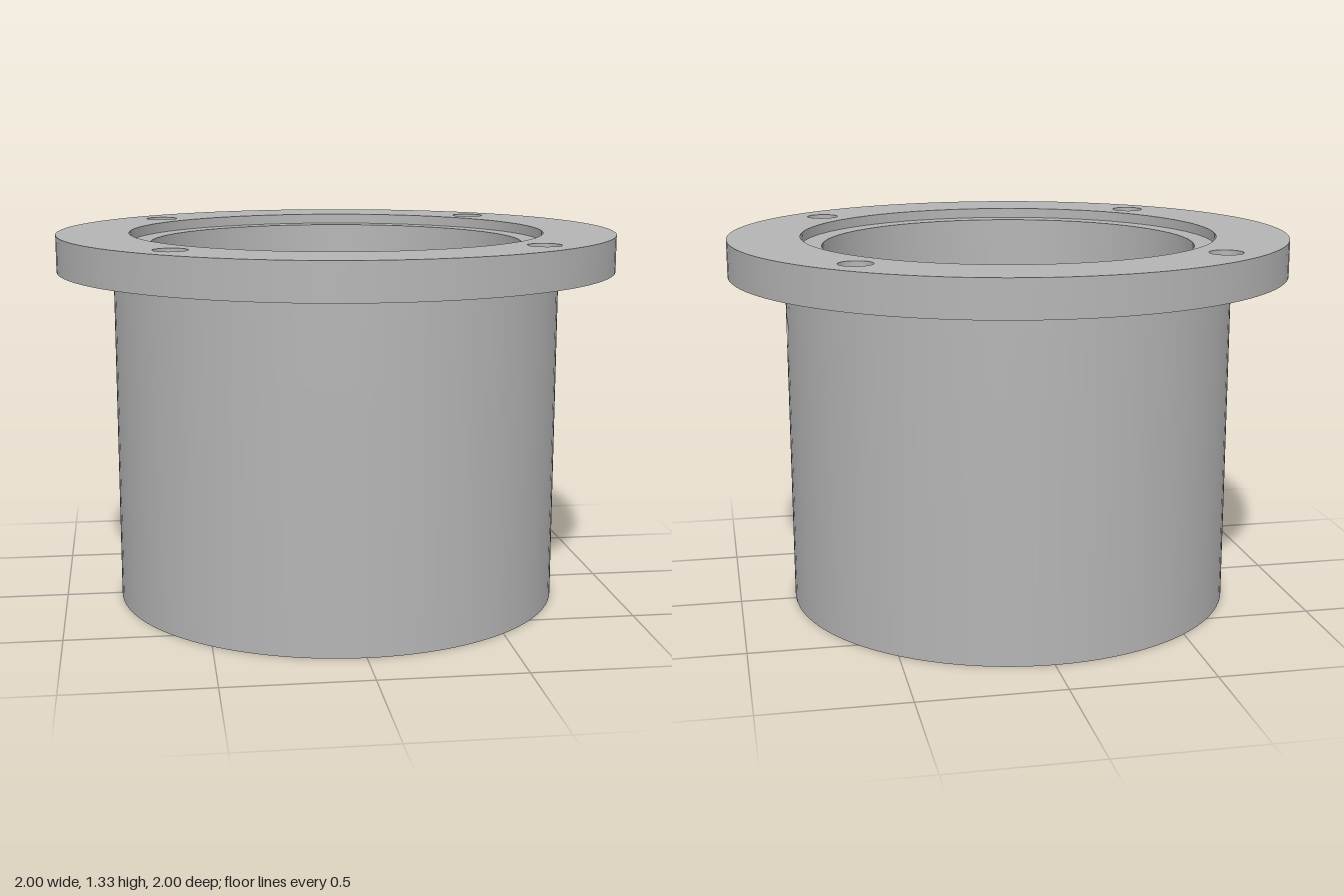
import * as THREE from 'three';
import { mergeGeometries } from 'three/addons/utils/BufferGeometryUtils.js';

const SEG = 96;
const OUTER = 0.8, BORE = 0.667, RECESS = 0.742, RIM = 1;
const FLANGE_Y = 1.203, SHELF_Y = 1.297, TOP_Y = 1.333;
const BOLT_R = 0.058, BOLT_POS = 0.613;
const PORT_R = 0.053, PORT_Y = 1.003, PATCH_H = 0.1;
const PATCH_A = (2 * Math.PI / SEG) * 2; // half angle of the wall patch around the port

// One revolved strip; an upward profile faces outward, an outward one faces down
function strip(r0, y0, r1, y1, start = 0, length = Math.PI * 2, seg = SEG) {
  return new THREE.LatheGeometry(
    [new THREE.Vector2(r0, y0), new THREE.Vector2(r1, y1)], seg, start, length);
}

// Grid moved by a rule that returns a position and a normal
function ruled(nu, nv, rule) {
  const g = new THREE.PlaneGeometry(1, 1, nu, nv);
  const { position, normal, uv } = g.attributes;
  for (let i = 0; i < position.count; i++) {
    const [p, n] = rule(uv.getX(i), uv.getY(i));
    position.setXYZ(i, ...p);
    normal.setXYZ(i, ...n);
  }
  return g;
}

// Curved patch of a wall with the round port in its middle
function portPatch(R, sign) {
  return ruled(48, 3, (u, t) => {
    const th = -sign * u * Math.PI * 2, c = Math.cos(th), s = Math.sin(th);
    const m = Math.max(Math.abs(c), Math.abs(s));
    const a = THREE.MathUtils.lerp(Math.asin(PORT_R * c / R), PATCH_A * c / m, t);
    const y = THREE.MathUtils.lerp(PORT_R * s, PATCH_H * s / m, t);
    const ca = Math.cos(a), sa = -Math.sin(a);
    return [[R * ca, PORT_Y + y, R * sa], [sign * ca, 0, sign * sa]];
  });
}

// Cylindrical wall with the port; sign 1 faces outward, -1 inward
function wall(R, yTop, sign) {
  const lo = PORT_Y - PATCH_H, hi = PORT_Y + PATCH_H;
  const up = (a, b, ...arc) => sign > 0 ? strip(R, a, R, b, ...arc) : strip(R, b, R, a, ...arc);
  return mergeGeometries([
    up(0, lo),
    up(lo, hi, Math.PI / 2 + PATCH_A, 2 * (Math.PI - PATCH_A), SEG - 4),
    up(hi, yTop),
    portPatch(R, sign),
  ]);
}

// Flat flange face with its centre opening and four bolt holes
function flangeFace(hole, y, facing) {
  const shape = new THREE.Shape().absarc(0, 0, RIM, 0, Math.PI * 2);
  const cut = (x, z, r) => shape.holes.push(new THREE.Path().absarc(x, z, r, 0, Math.PI * 2, true));
  cut(0, 0, hole);
  for (const x of [-BOLT_POS, BOLT_POS])
    for (const z of [-BOLT_POS, BOLT_POS]) cut(x, z, BOLT_R);
  return new THREE.ShapeGeometry(shape, SEG).rotateX(-facing * Math.PI / 2).translate(0, y, 0);
}

export function createModel() {
  const group = new THREE.Group();
  const metal = new THREE.MeshStandardMaterial({ color: 0xb4b4b4 });
  metal.name = 'grey metal';
  const add = (name, geometry) => {
    const mesh = new THREE.Mesh(geometry, metal);
    mesh.name = name;
    group.add(mesh);
  };

  // Sleeve
  add('sleeveOuterWall', wall(OUTER, FLANGE_Y, 1));
  add('sleeveBore', wall(BORE, SHELF_Y, -1));
  add('sleeveBottom', strip(BORE, 0, OUTER, 0));

  // Radial port through the sleeve wall
  add('sidePort', ruled(48, 1, (u, t) => {
    const th = -u * Math.PI * 2, c = Math.cos(th), s = Math.sin(th);
    const z = -PORT_R * c, R = t > 0.5 ? OUTER : BORE;
    return [[Math.sqrt(R * R - z * z), PORT_Y + PORT_R * s, z], [0, -s, c]];
  }));

  // Flange
  add('flangeTop', flangeFace(RECESS, TOP_Y, 1));
  add('flangeUnderside', flangeFace(OUTER, FLANGE_Y, -1));
  add('flangeRim', strip(RIM, FLANGE_Y, RIM, TOP_Y));

  // Recess in the top of the bore
  add('recessWall', strip(RECESS, TOP_Y, RECESS, SHELF_Y));
  add('recessShelf', strip(RECESS, SHELF_Y, BORE, SHELF_Y));

  // Bolt holes
  for (const x of [-BOLT_POS, BOLT_POS])
    for (const z of [-BOLT_POS, BOLT_POS])
      add('boltHole', strip(BOLT_R, TOP_Y, BOLT_R, FLANGE_Y, 0, Math.PI * 2, 48).translate(x, 0, z));

  return group;
}
